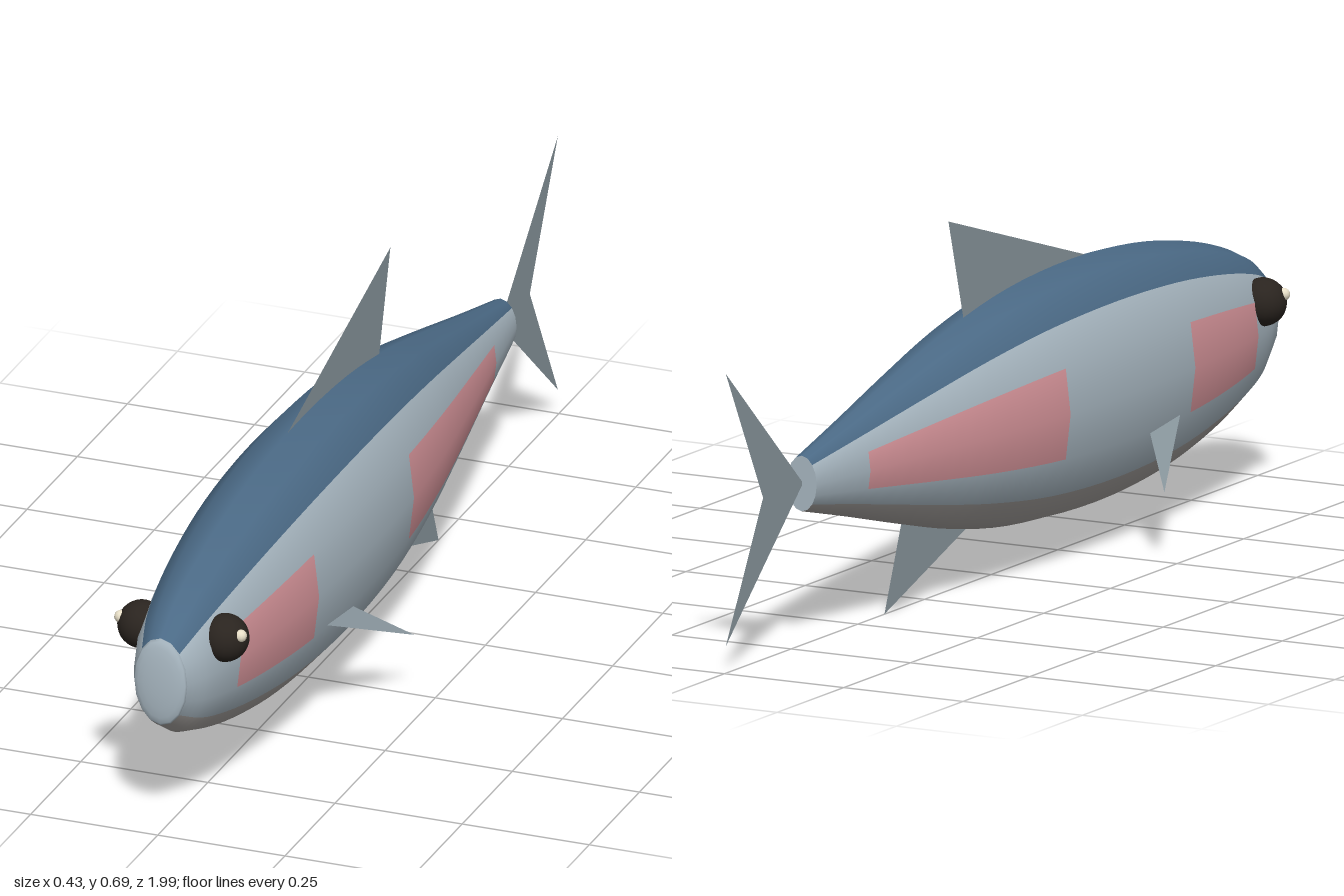
import * as THREE from 'three';

const CY = 0.307, ASPECT = 0.6, SUB = 4, STEP = Math.PI / 8; // 16-sided oval body

// [z, half height] from nose to tail; colour patches begin and end on these stations
const stations = [
  [0.985, 0.087], [0.92, 0.128], [0.83, 0.161], [0.7, 0.193], [0.53, 0.22], [0.3, 0.233],
  [0.06, 0.222], [-0.15, 0.189], [-0.35, 0.142], [-0.55, 0.091], [-0.71, 0.052],
];
const LAST = stations.length - 1;
const profile = new THREE.CatmullRomCurve3(stations.map(([z, r]) => new THREE.Vector3(0, r, z)));

const paint = (color, side = THREE.FrontSide) => new THREE.MeshStandardMaterial({ color, side });
const backBlue = paint(0x4b6a86);
const flank = paint(0xa9b8c2);
const belly = paint(0xa5a19e);
const pink = paint(0xd6949a);
const finGrey = paint(0x8b989f, THREE.DoubleSide);
const eyeBlack = paint(0x2a241f);
const cream = paint(0xe8dfc8);

function add(parent, name, geometry, material) {
  const mesh = new THREE.Mesh(geometry, material);
  mesh.name = name;
  parent.add(mesh);
  return mesh;
}

// Strip of body skin: sides a0..a1 (counted from the top), stations k0..k1
function skin(a0, a1, k0, k1) {
  const pos = [], nor = [], idx = [];
  const cols = a1 - a0 + 1, rows = (k1 - k0) * SUB;
  for (let i = 0; i <= rows; i++) {
    const t = (k0 + i / SUB) / LAST;
    const p = profile.getPoint(t), d = profile.getTangent(t);
    const slope = d.y / d.z;
    for (let j = a0; j <= a1; j++) {
      const s = Math.sin(j * STEP), c = Math.cos(j * STEP);
      pos.push(ASPECT * p.y * s, CY + p.y * c, p.z);
      const n = new THREE.Vector3(s / ASPECT, c, -slope).normalize();
      nor.push(n.x, n.y, n.z);
      if (i < rows && j < a1) {
        const a = i * cols + j - a0, b = a + cols;
        idx.push(a, a + 1, b, a + 1, b + 1, b);
      }
    }
  }
  // wind every face outward
  for (let f = 0; f < idx.length; f += 3) {
    const [A, B, C] = [0, 1, 2].map(k => new THREE.Vector3().fromArray(pos, idx[f + k] * 3));
    const out = new THREE.Vector3().fromArray(nor, idx[f] * 3);
    if (B.sub(A).cross(C.sub(A)).dot(out) < 0) [idx[f + 1], idx[f + 2]] = [idx[f + 2], idx[f + 1]];
  }
  const g = new THREE.BufferGeometry();
  g.setAttribute('position', new THREE.Float32BufferAttribute(pos, 3));
  g.setAttribute('normal', new THREE.Float32BufferAttribute(nor, 3));
  g.setIndex(idx);
  return g;
}

// Flat fin in the middle plane, outline given as [z, y]
function flatFin(points) {
  const g = new THREE.ShapeGeometry(new THREE.Shape(points.map(([z, y]) => new THREE.Vector2(z, y))));
  return g.rotateY(-Math.PI / 2);
}

export function createModel() {
  const fish = new THREE.Group();
  fish.name = 'fish';

  // Body skin
  const body = new THREE.Group();
  body.name = 'body';
  fish.add(body);
  add(body, 'back', skin(-2, 2, 0, LAST), backBlue);
  add(body, 'belly', skin(6, 10, 0, LAST), belly);
  for (const [side, start] of [['left', 0], ['right', 8]]) {
    add(body, side + 'UpperFlank', skin(start + 2, start + 3, 0, LAST), flank);
    add(body, side + 'LowerFlank', skin(start + 5, start + 6, 0, LAST), flank);
    // middle of the flank alternates between plain skin and pink patches
    const cuts = [0, 2, 4, 6, 9, LAST];
    for (let i = 0; i < cuts.length - 1; i++) {
      const patch = i % 2 === 1;
      add(body, side + (patch ? 'PinkPatch' : 'MiddleFlank') + i,
        skin(start + 3, start + 5, cuts[i], cuts[i + 1]), patch ? pink : flank);
    }
  }

  // Slightly domed nose and flat tail end
  const nose = add(body, 'nose',
    new THREE.SphereGeometry(1, 16, 5, 0, Math.PI * 2, 0, Math.PI / 2).rotateX(Math.PI / 2), flank);
  nose.position.set(0, CY, 0.985);
  nose.scale.set(0.087 * ASPECT, 0.087, 0.013);
  const tailEnd = add(body, 'tailEnd', new THREE.CircleGeometry(1, 16).rotateY(Math.PI), flank);
  tailEnd.position.set(0, CY, -0.71);
  tailEnd.scale.set(0.052 * ASPECT, 0.052, 1);

  // Middle fins
  add(fish, 'dorsalFin', flatFin([[0.38, 0.53], [-0.16, 0.695], [-0.1, 0.49]]), finGrey);
  add(fish, 'analFin', flatFin([[-0.06, 0.12], [-0.4, 0.005], [-0.33, 0.18]]), finGrey);
  add(fish, 'tailFin', flatFin([[-0.705, CY], [-0.995, 0.565], [-0.855, CY], [-0.995, 0.055]]), finGrey);

  // Paired fins and eyes
  for (const [side, s] of [['left', 1], ['right', -1]]) {
    const fin = new THREE.BufferGeometry().setFromPoints([
      new THREE.Vector3(s * 0.128, 0.228, 0.48),
      new THREE.Vector3(s * 0.132, 0.216, 0.36),
      new THREE.Vector3(s * 0.215, 0.132, 0.265),
    ]);
    fin.computeVertexNormals();
    add(fish, side + 'PectoralFin', fin, finGrey);

    const eye = add(fish, side + 'Eye', new THREE.SphereGeometry(0.045, 20, 14), eyeBlack);
    eye.position.set(s * 0.082, 0.362, 0.872);
    const glint = add(fish, side + 'EyeGlint', new THREE.SphereGeometry(0.012, 12, 8), cream);
    glint.position.set(s * 0.118, 0.377, 0.886);
  }
  return fish;
}
